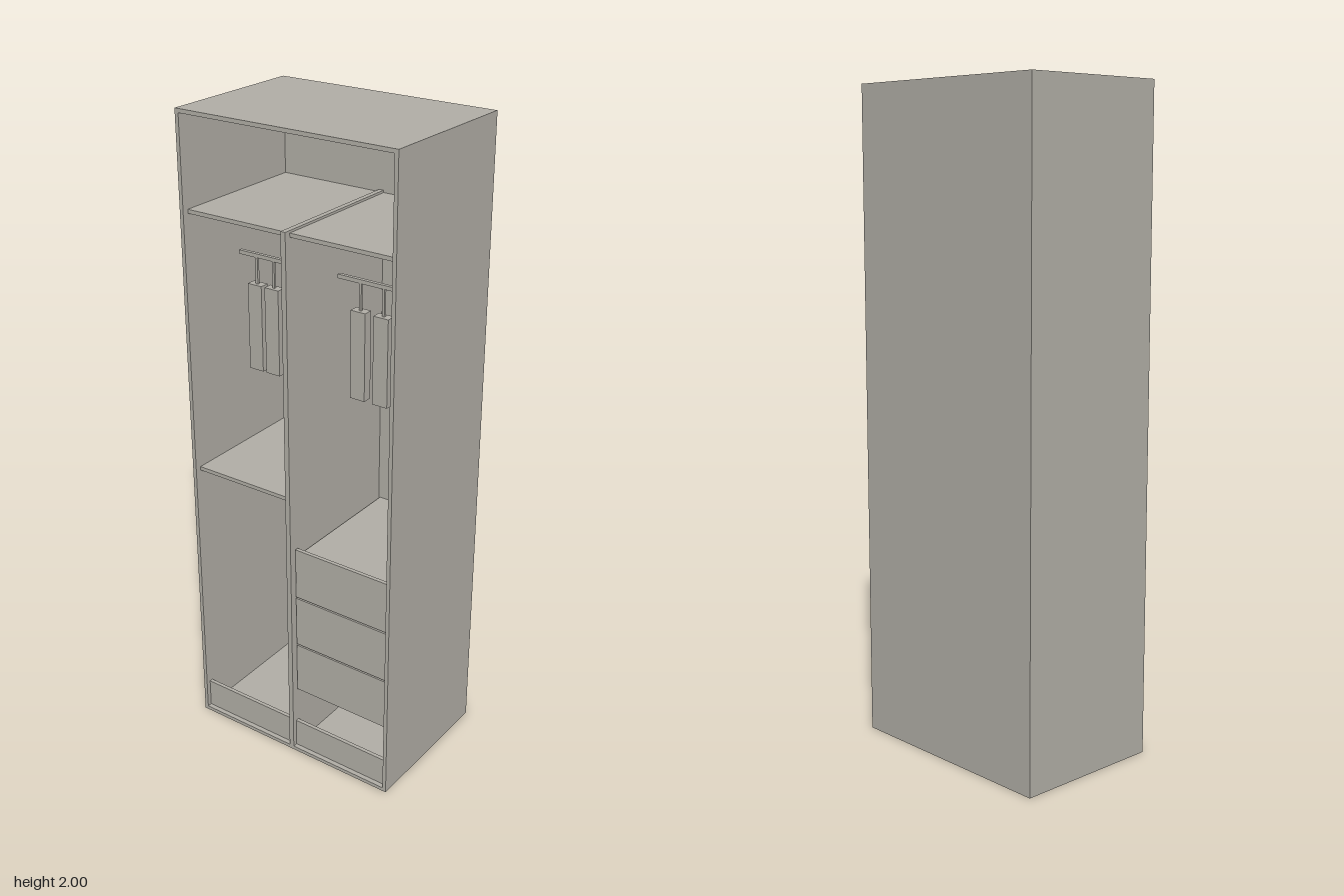
import * as THREE from 'three';

const T = 0.012;                       // panel thickness
const W = 0.36, D = 0.24, H = 2;       // half width, half depth, height

export function createModel() {
  const group = new THREE.Group();
  group.name = 'wardrobe';
  const grey = new THREE.MeshStandardMaterial({ color: 0xb0ada5 });
  grey.name = 'warm grey';

  // Box given by its lower and upper limits on each axis
  const box = (name, x0, x1, y0, y1, z0, z1) => {
    const mesh = new THREE.Mesh(new THREE.BoxGeometry(x1 - x0, y1 - y0, z1 - z0), grey);
    mesh.position.set((x0 + x1) / 2, (y0 + y1) / 2, (z0 + z1) / 2);
    mesh.name = name;
    group.add(mesh);
  };

  // Carcass
  const inner = W - T, back = -D + T, half = 0.008;
  box('rightSide', -W, -inner, 0, H, -D, D);
  box('leftSide', inner, W, 0, H, -D, D);
  box('topPanel', -inner, inner, H - T, H, -D, D);
  box('bottomPanel', -inner, inner, 0, T, -D, D);
  box('backPanel', -inner, inner, T, H - T, -D, back);
  box('divider', -half, half, T, 1.722, back, D);

  // Shelves, split by the divider
  const front = D - 0.02;
  box('upperShelfRight', -inner, -half, 1.703, 1.715, back, front);
  box('upperShelfLeft', half, inner, 1.703, 1.715, back, front);
  box('lowerShelf', -inner, -half, 0.892, 0.904, back, front);

  // Plinth boards
  box('plinthRight', -inner, -half, T, 0.105, front - 0.007, D - 0.015);
  box('plinthLeft', half, inner, T, 0.105, front - 0.007, D - 0.015);

  // Drawers: front board with a lower body behind
  for (let i = 0; i < 3; i++) {
    const y = 0.227 + i * 0.171;
    box('drawerFront', 0.011, 0.342, y, y + 0.166, front - T, front);
    box('drawerBody', 0.013, 0.34, y + 0.012, y + 0.142, back, front - T);
  }

  // Hanging rails
  const railZ = 0.015;
  const rail = (x0, x1, y) =>
    box('rail', x0, x1, y - 0.006, y + 0.006, railZ - 0.006, railZ + 0.006);
  rail(-0.333, -0.022, 1.538);
  rail(0.022, 0.333, 1.538);
  rail(-0.333, -0.022, 0.763);

  // Hanging garments with their hooks
  for (const x of [-0.271, -0.209, -0.146, -0.085, 0.098, 0.176, 0.254]) {
    box('hook', x - 0.004, x + 0.004, 1.45, 1.533, railZ - 0.004, railZ + 0.004);
    box('garment', x - 0.025, x + 0.025, 1.178, 1.45, railZ - 0.015, railZ + 0.015);
  }
  return group;
}
